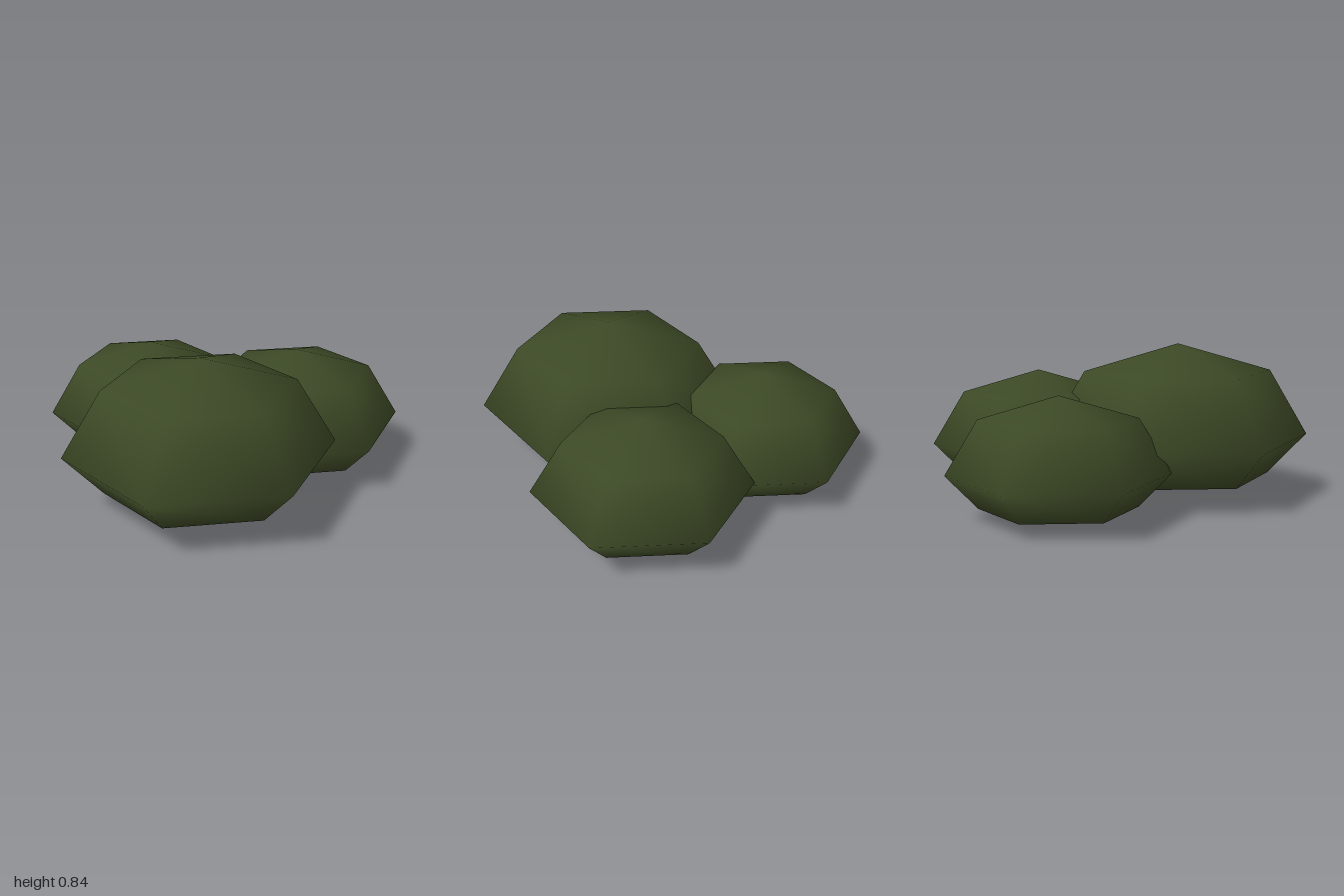
import * as THREE from 'three';
import { mergeVertices } from 'three/addons/utils/BufferGeometryUtils.js';

// Six-sided low-poly clump: domed top, flatter underside, smooth normals
function clumpGeometry(radius) {
  let geo = new THREE.SphereGeometry(radius, 6, 4);
  const pos = geo.attributes.position;
  for (let i = 0; i < pos.count; i++) {
    const y = pos.getY(i);
    pos.setY(i, y * (y > 0 ? 0.7 : 0.42));
  }
  geo.deleteAttribute('uv');
  geo.deleteAttribute('normal');
  geo = mergeVertices(geo, 1e-4);
  geo.computeVertexNormals();
  return geo;
}

export function createModel() {
  const group = new THREE.Group();
  group.name = 'bush';
  const leafGreen = new THREE.MeshStandardMaterial({ color: 0x3d4a26 });
  leafGreen.name = 'leafGreen';

  // name, radius, centre of the widest ring
  const clumps = [
    ['frontClump', 0.722, [-0.236, 0.34, 0.372]],
    ['leftClump', 0.596, [0.378, 0.26, -0.145]],
    ['backClump', 0.573, [-0.405, 0.242, -0.503]],
  ];
  for (const [name, radius, centre] of clumps) {
    const mesh = new THREE.Mesh(clumpGeometry(radius), leafGreen);
    mesh.name = name;
    mesh.position.set(...centre);
    group.add(mesh);
  }
  return group;
}
